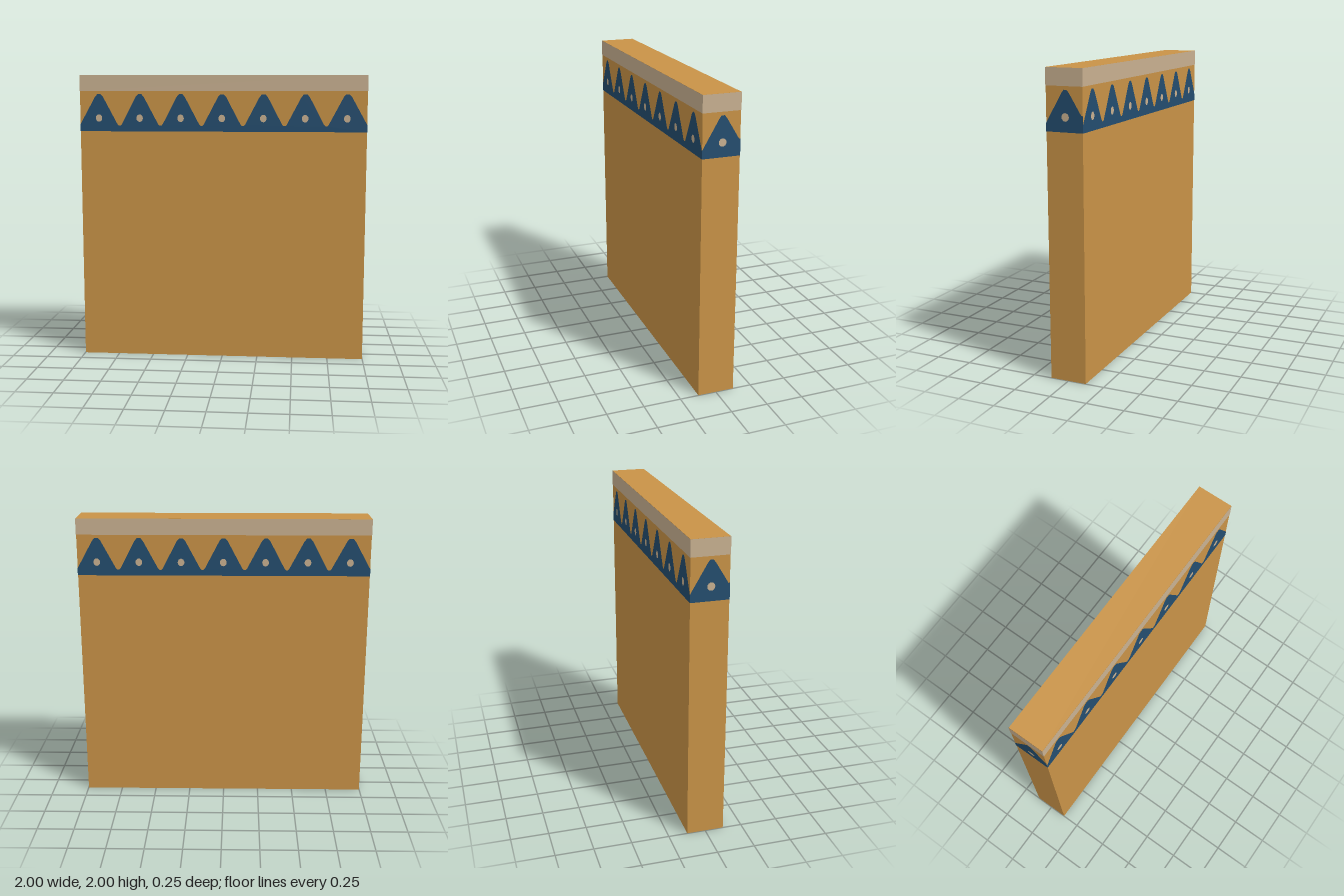
import * as THREE from 'three';

const WIDTH = 2, DEPTH = 0.25, HEIGHT = 2;
const BAND_LOW = 1.89, TRIM_LOW = 1.61, DOT_Y = 1.702, PITCH = 0.288;

export function createModel() {
  const mat = (name, color) => {
    const m = new THREE.MeshStandardMaterial({ color });
    m.name = name;
    return m;
  };
  const ochre = mat('ochre plaster', 0xc99347);
  const beige = mat('beige paint', 0xc9b191);
  const blue = mat('blue paint', 0x234d6f);

  const model = new THREE.Group();
  model.name = 'wallBlock';

  const add = (parent, name, geometry, material, z = 0) => {
    const mesh = new THREE.Mesh(geometry, material);
    mesh.name = name;
    mesh.position.z = z;
    parent.add(mesh);
    return mesh;
  };

  // Plain wall, slightly inset so the paint sits on the outer faces
  const wall = add(model, 'wall', new THREE.BoxGeometry(WIDTH - 0.003, HEIGHT, DEPTH - 0.003), ochre);
  wall.position.y = HEIGHT / 2;

  // Rounded peaks joined by shallow valleys along the long faces
  const longOutline = [[-1, 1.657]];
  for (let i = -3; i <= 3; i++) {
    const x = i * PITCH;
    if (i > -3) longOutline.push([x - 0.138, 1.65], [x - 0.128, 1.66]);
    longOutline.push([x - 0.028, 1.85], [x - 0.012, 1.868], [x + 0.012, 1.868], [x + 0.028, 1.85]);
    if (i < 3) longOutline.push([x + 0.128, 1.66], [x + 0.138, 1.65]);
  }
  longOutline.push([1, 1.657]);

  // Single, slightly off-centre peak on the narrow faces
  const endOutline = [[-0.125, 1.662], [-0.016, 1.85], [-0.002, 1.868], [0.018, 1.868], [0.033, 1.85], [0.115, 1.715], [0.125, 1.715]];

  // One painted side: top band, peaked trim and dots
  function paintedSide(name, width, depth, outline, dotXs, dotRx, angle) {
    const side = new THREE.Group();
    side.name = name;
    side.rotation.y = angle;
    const h = width / 2;

    const band = add(side, 'topBand', new THREE.PlaneGeometry(width, HEIGHT - BAND_LOW), beige, depth / 2);
    band.position.y = (HEIGHT + BAND_LOW) / 2;

    const points = [[-h, TRIM_LOW], [h, TRIM_LOW], ...outline.slice().reverse()];
    const shape = new THREE.Shape(points.map(([x, y]) => new THREE.Vector2(x, y)));
    add(side, 'peakedTrim', new THREE.ShapeGeometry(shape), blue, depth / 2 - 0.0002);

    for (const x of dotXs) {
      const dot = add(side, 'dot', new THREE.CircleGeometry(1, 16), beige, depth / 2 + 0.001);
      dot.scale.set(dotRx, 0.026, 1);
      dot.position.set(x, DOT_Y, dot.position.z);
    }
    model.add(side);
  }

  const longDots = [-3, -2, -1, 0, 1, 2, 3].map((i) => i * PITCH - 0.002);
  paintedSide('frontTrim', WIDTH, DEPTH, longOutline, longDots, 0.023, 0);
  paintedSide('backTrim', WIDTH, DEPTH, longOutline, longDots, 0.023, Math.PI);
  paintedSide('leftTrim', DEPTH, WIDTH, endOutline, [0.007], 0.025, Math.PI / 2);
  paintedSide('rightTrim', DEPTH, WIDTH, endOutline, [0.007], 0.025, -Math.PI / 2);

  return model;
}
